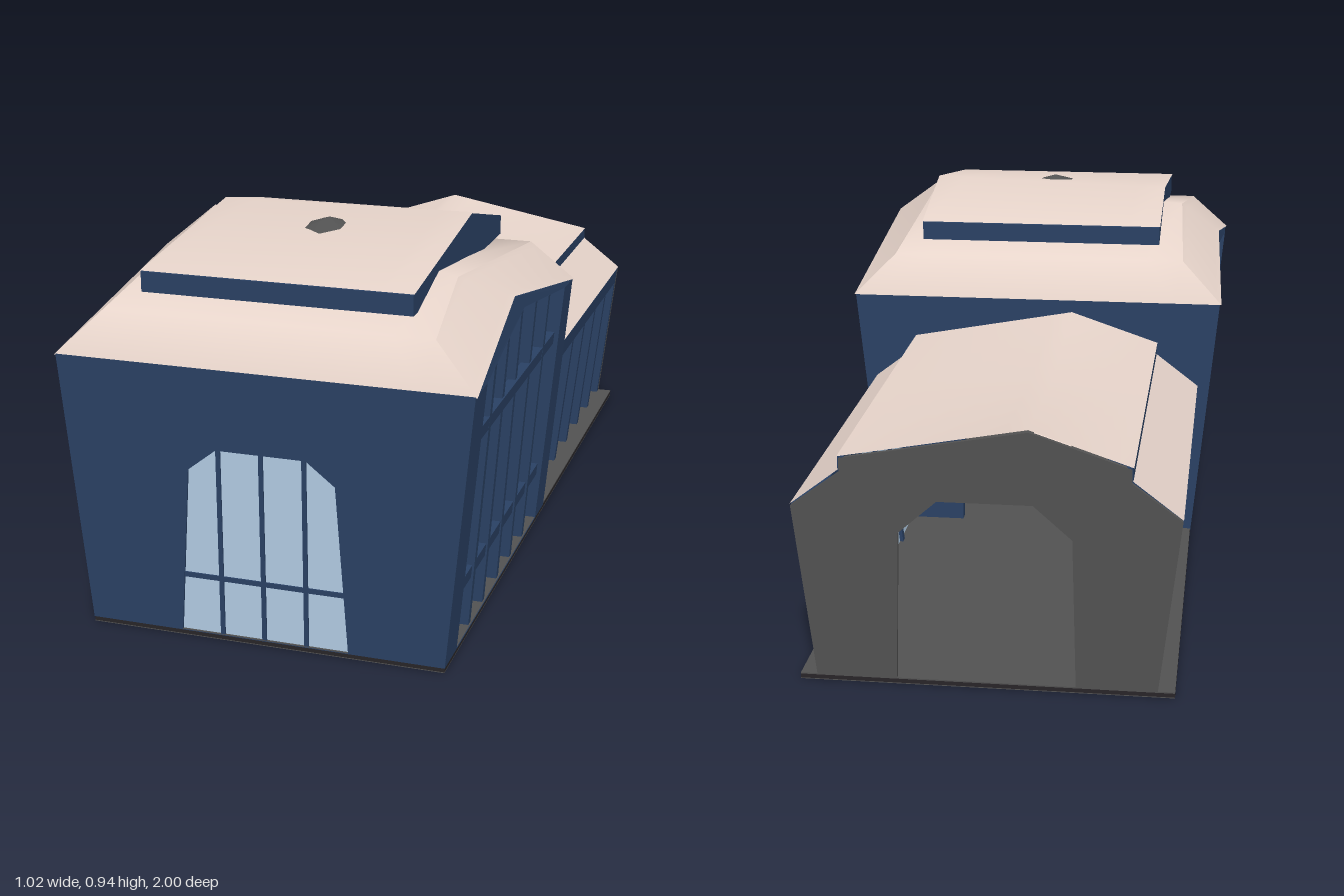
import * as THREE from 'three';
import { toCreasedNormals } from 'three/addons/utils/BufferGeometryUtils.js';

const mat = (name, color) => {
  const m = new THREE.MeshStandardMaterial({ color });
  m.name = name;
  return m;
};

export function createModel() {
  const navy = mat('navy', 0x2a4164);
  const cream = mat('cream', 0xebd8ce);
  const glass = mat('paleGlass', 0xb2cce4);
  const charcoal = mat('charcoal', 0x525252);
  const black = mat('baseBlack', 0x282528);

  const model = new THREE.Group();
  model.name = 'hallWithAnnex';

  const add = (name, geo, material) => {
    const mesh = new THREE.Mesh(geo, material);
    mesh.name = name;
    model.add(mesh);
    return mesh;
  };
  const box = (name, w, h, d, x, y, z, material) =>
    add(name, new THREE.BoxGeometry(w, h, d).translate(x, y, z), material);
  const shapeOf = (pts, hole) => {
    const s = new THREE.Shape(pts.map(p => new THREE.Vector2(...p)));
    if (hole) s.holes.push(new THREE.Path(hole.map(p => new THREE.Vector2(...p))));
    return s;
  };
  const extrude = (pts, depth, hole) =>
    new THREE.ExtrudeGeometry(shapeOf(pts, hole), { depth, bevelEnabled: false });
  const rect = (a0, a1, b0, b1) => [[a0, b0], [a1, b0], [a1, b1], [a0, b1]];

  // Surface ruled between rails, with every face turned up (or down for ceilings)
  const STEPS = 8;
  const ruled = (rails, up) => {
    const rows = [];
    rails.forEach((rail, i) => {
      const next = rails[i + 1];
      for (let k = 0; k < (next ? STEPS : 1); k++)
        rows.push(rail.map((p, j) => {
          const v = new THREE.Vector3(...p);
          return next ? v.lerp(new THREE.Vector3(...next[j]), k / STEPS) : v;
        }));
    });
    const pts = [];
    for (let i = 1; i < rows.length; i++) for (let j = 1; j < rows[i].length; j++) {
      const a = rows[i - 1][j - 1], b = rows[i - 1][j], c = rows[i][j], d = rows[i][j - 1];
      for (const [p, q, r] of [[a, b, c], [a, c, d]]) {
        const n = q.clone().sub(p).cross(r.clone().sub(p));
        pts.push(...(n.y * up < 0 ? [p, r, q] : [p, q, r]));
      }
    }
    return toCreasedNormals(new THREE.BufferGeometry().setFromPoints(pts), 1.4);
  };
  // Cream roof with a dark ceiling held just inside it
  const roof = (name, rails, zMid) => {
    add(name, ruled(rails, 1), cream);
    add(name + 'Ceiling', ruled(rails, -1).translate(0, -0.012, -zMid)
      .scale(0.98, 1, 0.97).translate(0, 0, zMid), charcoal);
  };

  // Leaning side panel drawn in (z, y); depth runs inwards from the outer face
  const lean = y => y <= 0.675 ? 0.44 + 0.065 * y / 0.675 : 0.505 - 0.02 * (y - 0.675) / 0.115;
  const sidePanel = (pts, depth, inset, outer, hole) => {
    const g = extrude(pts, depth, hole);
    const p = g.attributes.position;
    for (let i = 0; i < p.count; i++) {
      const z = p.getX(i), y = p.getY(i), d = p.getZ(i);
      p.setXYZ(i, outer(y) - d - inset, y, z);
    }
    g.computeVertexNormals();
    return g;
  };
  // Adds a part to the +x side and its half-turn copy to the -x side
  const bothSides = (name, geo, material, zMid) => {
    add(name + 'Left', geo, material);
    add(name + 'Right', geo.clone().translate(0, 0, -zMid).rotateY(Math.PI).translate(0, 0, zMid), material);
  };

  // Base, underside and floor
  box('base', 0.88, 0.01, 2, 0, 0.007, 0, black);
  box('underside', 0.88, 0.002, 2, 0, 0.001, 0, charcoal);
  box('floor', 0.88, 0.003, 2, 0, 0.0135, 0, charcoal);

  // Front wall with arched window set nearly flush
  const arch = [[-0.208, 0.013], [0.208, 0.013], [0.18, 0.425], [0.11, 0.48], [-0.11, 0.48], [-0.18, 0.425]];
  const wall = [[-0.441, 0.012], [0.441, 0.012], [0.505, 0.675], [-0.505, 0.675]];
  add('frontWall', extrude(wall, 0.04, arch).translate(0, 0, 0.961), navy);
  add('frontWallLining', extrude([[-0.39, 0.015], [0.39, 0.015], [0.44, 0.67], [-0.44, 0.67]], 0.006, arch)
    .translate(0, 0, 0.953), cream);
  add('frontWindow', extrude(arch, 0.008).translate(0, 0, 0.988), glass);
  for (const x of [-0.105, 0, 0.105]) box('frontMullion', 0.011, 0.467, 0.008, x, 0.246, 0.996, navy);
  box('frontTransom', 0.396, 0.012, 0.008, 0, 0.158, 0.996, navy);

  // Back wall of the hall, open to the annex
  const door = [[-0.21, 0.014], [0.21, 0.014], [0.2, 0.38], [0.11, 0.46], [-0.11, 0.46], [-0.2, 0.38]];
  add('hallBackWall', extrude(wall, 0.03, door), navy);

  // Open gabled side frames of the hall
  bothSides('sideFrame', sidePanel(
    [[0, 0.012], [1, 0.012], [1, 0.672], [0.6, 0.786], [0, 0.672]], 0.045, 0, lean,
    [[0.1, 0.014], [0.9, 0.014], [0.9, 0.675], [0.51, 0.738], [0.1, 0.675]]), navy, 0.5);
  for (const z of [0.77, 0.64, 0.5, 0.365, 0.23]) {
    const top = 0.745 - Math.abs(z - 0.51) * 0.14;
    bothSides('sideMullion', sidePanel(rect(z - 0.01, z + 0.01, 0.012, top), 0.05, 0.005, lean), navy, 0.5);
  }
  for (const y of [0.157, 0.535])
    bothSides('sideTransom', sidePanel(rect(0.09, 0.91, y - 0.016, y + 0.016), 0.025, 0.012, lean), navy, 0.5);

  // Hall roof: rounded front-to-back sweep with folded side rims
  const outR = [[0.509, 0.673, 1.001], [0.491, 0.79, 0.6], [0.509, 0.673, -0.001]];
  const inR = [[0.4, 0.78, 0.95], [0.385, 0.86, 0.72], [0.4, 0.78, 0.05]];
  const inL = [[-0.4, 0.78, 0.95], [-0.385, 0.885, 0.32], [-0.4, 0.78, 0.05]];
  const outL = [[-0.509, 0.673, 1.001], [-0.491, 0.79, 0.4], [-0.509, 0.673, -0.001]];
  roof('hallRoof', [[outL[0], ...inL, outL[2]], [outR[0], ...inR, outR[2]]], 0.5);
  roof('hallRoofRimLeft', [inR, outR], 0.5);
  roof('hallRoofRimRight', [outL, inL], 0.5);

  // Raised roof lantern
  const railAt = (x, peak, zPeak) => [[x, 0.861, 0.892], [x, peak, zPeak], [x, 0.861, 0.108]];
  const topR = railAt(0.333, 0.935, 0.4), topL = railAt(-0.333, 0.92, 0.37);
  roof('lanternRoof', [topL, topR], 0.5);
  [topL, topR].forEach(([a, b, c], i) => {
    const side = [[c[2], 0.81], [a[2], 0.81], [a[2], 0.859], [b[2], b[1] - 0.003], [c[2], 0.859]];
    add('lanternSide', extrude(side, 0.02).rotateY(-Math.PI / 2).translate(i ? 0.331 : -0.311, 0, 0), navy);
  });
  for (const z of [0.881, 0.119]) box('lanternEnd', 0.662, 0.049, 0.022, 0, 0.8345, z, navy);
  add('roofCap', new THREE.ConeGeometry(0.085, 0.026, 8).translate(0, 0.912, 0.51), charcoal);

  // Annex side walls, battered inwards towards the ground
  const annexLean = y => 0.398 + 0.051 * y / 0.44;
  bothSides('annexHeader', sidePanel(rect(-0.995, -0.005, 0.39, 0.437), 0.05, 0, annexLean), navy, -0.5);
  bothSides('annexTransom', sidePanel(rect(-0.99, -0.01, 0.142, 0.172), 0.012, 0.025, annexLean), navy, -0.5);
  bothSides('annexGlass', sidePanel(rect(-0.98, -0.02, 0.012, 0.4), 0.006, 0.035, annexLean), glass, -0.5);
  for (let i = 0; i <= 6; i++) {
    const z = -0.016 - i * 0.1613;
    bothSides('annexPost', sidePanel(rect(z - 0.011, z + 0.011, 0.012, 0.4), 0.05, 0, annexLean), navy, -0.5);
  }

  // Annex roof: lean-to slopes, upright bands and sagging ridge
  const rail = (x, ...ys) => ys.map((y, i) => [x, y, -i / (ys.length - 1)]);
  for (const s of [1, -1]) {
    roof('annexSlope', [rail(s * 0.45, 0.44, 0.44), rail(s * 0.33, 0.532, 0.532)], -0.5);
    box('annexRoofBand', 0.015, 0.034, 0.998, s * 0.328, 0.543, -0.5, navy);
  }
  roof('annexRoof', [
    rail(-0.337, 0.56, 0.56, 0.56), rail(-0.1, 0.64, 0.597, 0.64), rail(0.337, 0.56, 0.56, 0.56)], -0.5);

  // Annex end wall with arched doorway
  add('annexEndWall', extrude([[-0.4, 0.012], [0.4, 0.012], [0.449, 0.436], [0.333, 0.522],
    [0.333, 0.556], [-0.1, 0.634], [-0.333, 0.556], [-0.333, 0.522], [-0.449, 0.436]], 0.01, door)
    .translate(0, 0, -1), charcoal);

  // Interior columns
  for (const x of [-0.3, 0.3]) for (const z of [0.845, 0.16]) {
    add('column', new THREE.CylinderGeometry(0.011, 0.011, 0.62, 8).translate(x, 0.32, z), cream);
    box('columnFoot', 0.026, 0.025, 0.026, x, 0.027, z, navy);
  }

  // Interior platform with sloping stair
  box('platform', 0.26, 0.016, 0.25, 0, 0.186, 0.495, glass);
  box('platformTrim', 0.27, 0.008, 0.26, 0, 0.174, 0.495, navy);
  const stair = box('stair', 0.12, 0.025, 0.3, 0, 0, 0, cream);
  stair.position.set(0, 0.092, 0.43);
  stair.rotation.x = -0.53;

  return model;
}
